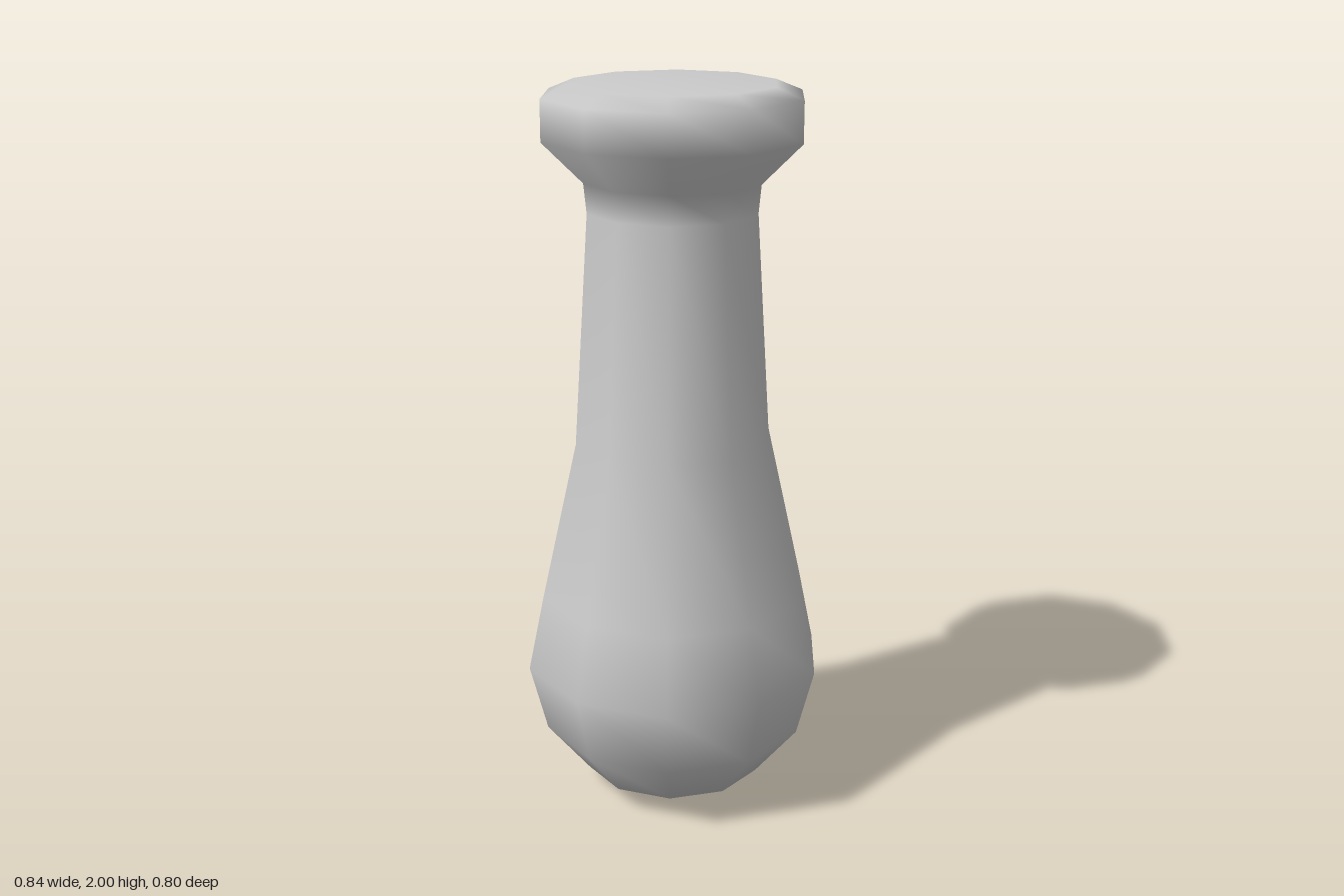
import * as THREE from 'three';

const SIDES = 10;

// Outline from the bottom tip to the centre of the flat top: [radius, height]
const PROFILE = [
  [0, 0], [0.25, 0.055], [0.37, 0.2], [0.419, 0.39], [0.375, 0.6], // rounded bulb
  [0.275, 1.04], [0.235, 1.67], [0.243, 1.75],                      // tapering neck
  [0.353, 1.86], [0.353, 1.97], [0.28, 2], [0, 2],                  // flared knob
];

export function createModel() {
  const group = new THREE.Group();
  group.name = 'handle';

  // One continuous smooth ten-sided skin, with corners on the x axis
  const points = PROFILE.map(([r, y]) => new THREE.Vector2(r, y));
  const grip = new THREE.Mesh(
    new THREE.LatheGeometry(points, SIDES, Math.PI / 2),
    new THREE.MeshStandardMaterial({ color: 0xcccccc })
  );
  grip.name = 'grip';
  group.add(grip);

  return group;
}
